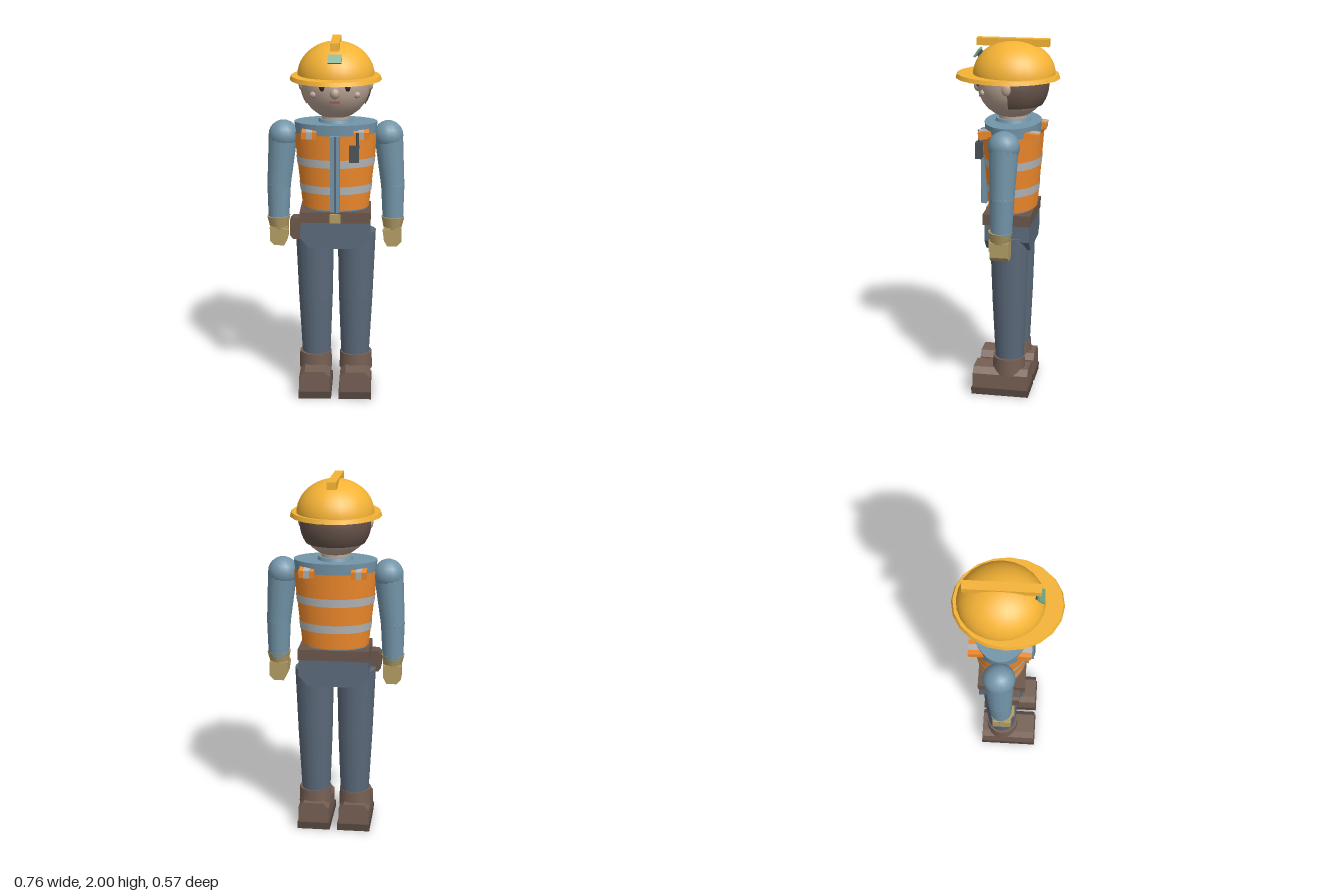
import * as THREE from 'three';

const Z = -0.03; // body centre line in depth
const mats = {};
const mat = (c) => (mats[c] ??= new THREE.MeshStandardMaterial({ color: c, side: THREE.DoubleSide }));
const SHIRT = 0x7395a9, VEST = 0xf08a2c, STRIPE = 0xb4b6b8, TROUSER = 0x5b697a, BOOT = 0x755f54,
  SOLE = 0x55463f, GLOVE = 0xb39d65, SKIN = 0xb8a293, HAIR = 0x655249, HAT = 0xf5b335, BELT = 0x6a564a, DARK = 0x4a5256;

export function createModel() {
  const model = new THREE.Group();

  const add = (name, geo, color, x = 0, y = 0, z = 0) => {
    const m = new THREE.Mesh(geo, mat(color));
    m.name = name;
    m.position.set(x, y, z);
    model.add(m);
    return m;
  };
  const box = (name, color, w, h, d, x, y, z) => add(name, new THREE.BoxGeometry(w, h, d), color, x, y, z);
  const ball = (name, color, rx, ry, rz, x, y, z, seg = 16) =>
    add(name, new THREE.SphereGeometry(1, seg, 12).scale(rx, ry, rz), color, x, y, z);
  // elliptical frustum between two heights
  const oval = (name, color, rTop, rBot, y0, y1, depth, z = Z, open = false) =>
    add(name, new THREE.CylinderGeometry(rTop, rBot, y1 - y0, 28, 1, open).scale(1, 1, depth), color, 0, (y0 + y1) / 2, z);
  // round limb running between two points
  const limb = (name, color, a, b, ra, rb, seg = 14) => {
    const p = new THREE.Vector3(...a), q = new THREE.Vector3(...b);
    const m = add(name, new THREE.CylinderGeometry(ra, rb, p.distanceTo(q), seg), color);
    m.position.copy(p).add(q).multiplyScalar(0.5);
    m.quaternion.setFromUnitVectors(new THREE.Vector3(0, 1, 0), p.sub(q).normalize());
    return m;
  };
  // outline in x/y pushed through depth z0..z1
  const slab = (name, color, pts, z0, z1, x = 0) => {
    const s = new THREE.Shape(pts.map((p) => new THREE.Vector2(...p)));
    return add(name, new THREE.ExtrudeGeometry(s, { depth: z1 - z0, bevelEnabled: false }), color, x, 0, z0);
  };

  // Torso, vest and reflective bands
  oval('torso', SHIRT, 0.228, 0.176, 1.05, 1.555, 0.67);
  const vestR = (y) => THREE.MathUtils.lerp(0.184, 0.23, (y - 1.08) / 0.42);
  oval('vest', VEST, vestR(1.5), vestR(1.08), 1.08, 1.5, 0.73, Z, true);
  for (const y of [1.17, 1.32])
    oval('reflectiveBand', STRIPE, vestR(y + 0.045) + 0.003, vestR(y) + 0.003, y, y + 0.045, 0.73, Z, true);
  box('vestOpening', SHIRT, 0.052, 0.42, 0.03, 0, 1.29, 0.13);
  box('zipper', TROUSER, 0.01, 0.42, 0.006, 0, 1.29, 0.147);
  for (const s of [1, -1]) {
    for (const [z, tilt] of [[0.09, 0.12], [-0.155, -0.12]]) {
      box('shoulderStrap', VEST, 0.082, 0.04, 0.08, s * 0.14, 1.505, z).rotation.x = tilt;
      box('strapStripe', STRIPE, 0.032, 0.042, 0.082, s * 0.14, 1.506, z).rotation.x = tilt;
    }
  }
  box('radio', DARK, 0.055, 0.09, 0.035, 0.103, 1.405, 0.14);
  limb('radioAntenna', DARK, [0.12, 1.52, 0.135], [0.12, 1.44, 0.135], 0.008, 0.008, 8);

  // Neck and collar
  oval('neck', SKIN, 0.075, 0.08, 1.52, 1.62, 1);
  oval('collar', SHIRT, 0.092, 0.1, 1.545, 1.572, 1);

  // Belt, buckle, pouch and hips
  box('belt', BELT, 0.39, 0.06, 0.26, 0, 1.04, -0.025);
  box('buckle', GLOVE, 0.058, 0.048, 0.02, 0, 1.037, 0.108);
  slab('pouch', BELT, [[-0.235, 1.03], [-0.25, 1.015], [-0.25, 0.93], [-0.235, 0.91], [-0.19, 0.91], [-0.19, 1.03]], -0.005, 0.075);
  slab('hips', TROUSER, [[-0.19, 1.015], [-0.195, 0.92], [-0.14, 0.86], [0.14, 0.86], [0.195, 0.92], [0.19, 1.015]], -0.15, 0.095);

  for (const s of [1, -1]) {
    // Legs
    limb('thigh', TROUSER, [s * 0.117, 0.94, Z], [s * 0.113, 0.55, Z], 0.108, 0.096, 18);
    limb('shin', TROUSER, [s * 0.113, 0.55, Z], [s * 0.11, 0.2, Z], 0.096, 0.08, 18);

    // Boots
    const bx = s * 0.115;
    limb('bootCuff', BOOT, [bx, 0.22, -0.027], [bx, 0.12, -0.027], 0.09, 0.094, 16);
    slab('boot', BOOT, [[-0.086, 0.04], [0.086, 0.04], [0.086, 0.125], [0.056, 0.157], [-0.056, 0.157], [-0.086, 0.125]], -0.145, 0.167, bx);
    box('bootSole', SOLE, 0.184, 0.04, 0.325, s * 0.113, 0.02, 0.0125);

    // Arms
    ball('shoulder', SHIRT, 0.082, 0.082, 0.086, s * 0.288, 1.477, Z);
    limb('upperArm', SHIRT, [s * 0.29, 1.477, Z], [s * 0.315, 1.2, -0.025], 0.08, 0.066);
    ball('elbow', SHIRT, 0.066, 0.066, 0.066, s * 0.315, 1.2, -0.025, 14);
    limb('forearm', SHIRT, [s * 0.315, 1.2, -0.025], [s * 0.318, 1.0, -0.02], 0.066, 0.058);

    // Gloves
    limb('gloveCuff', GLOVE, [s * 0.318, 1.02, -0.015], [s * 0.316, 0.95, -0.013], 0.066, 0.05, 10);
    slab('glove', GLOVE, [[0.05, 0.965], [0.05, 0.885], [0.025, 0.86], [-0.03, 0.86], [-0.05, 0.9], [-0.05, 0.965]]
      .map(([x, y]) => [s * x, y]), -0.065, 0.035, s * 0.316);
    box('thumb', GLOVE, 0.035, 0.065, 0.035, s * 0.283, 0.925, 0.035).rotation.z = s * 0.15;

    // Ears, eyes and cheeks
    ball('ear', SKIN, 0.018, 0.035, 0.027, s * 0.185, 1.757, -0.025);
    ball('eye', 0x2f2a28, 0.015, 0.022, 0.01, s * 0.068, 1.767, 0.15);
    ball('cheek', SKIN, 0.021, 0.018, 0.016, s * 0.115, 1.722, 0.115);
  }

  // Head and face
  ball('head', SKIN, 0.187, 0.187, 0.19, 0, 1.757, -0.025, 32);
  ball('nose', SKIN, 0.027, 0.03, 0.028, 0, 1.735, 0.158);
  box('mouth', 0x9a4f48, 0.056, 0.008, 0.012, 0, 1.687, 0.148);
  add('hair', new THREE.SphereGeometry(0.194, 24, 12, Math.PI, Math.PI, 0.5, 1.67).rotateY(Math.PI)
    .rotateY(Math.PI).scale(1, 1, -1).scale(1, 1, -1), HAIR, 0, 1.757, -0.03);

  // Hard hat: dome, brim, ridge and lamp
  add('hatDome', new THREE.SphereGeometry(1, 24, 12, 0, Math.PI * 2, 0, Math.PI / 2).scale(0.21, 0.185, 0.224), HAT, 0, 1.805, -0.035);
  add('hatBrim', new THREE.CylinderGeometry(0.242, 0.249, 0.022, 20).scale(1, 1, 1.14).toNonIndexed(), HAT, 0, 1.8, 0);
  box('hatRidge', HAT, 0.048, 0.04, 0.39, 0, 1.98, -0.03);
  box('lampMount', DARK, 0.05, 0.03, 0.04, 0, 1.91, 0.145).rotation.x = -0.6;
  box('hatLamp', 0x6fa783, 0.074, 0.05, 0.012, 0, 1.918, 0.163).rotation.x = -0.6;

  return model;
}
